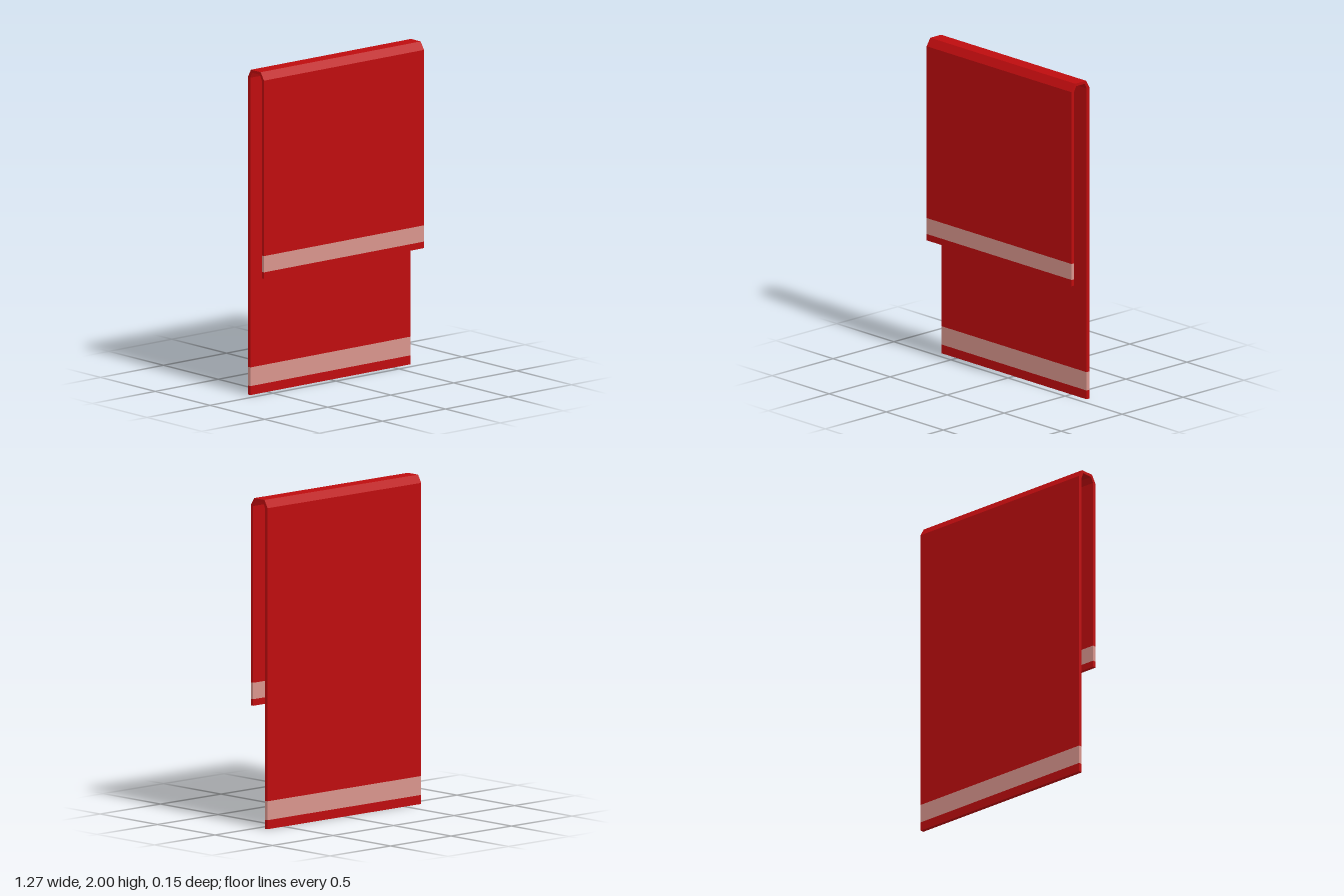
import * as THREE from 'three';

const WIDTH = 1.27;

export function createModel() {
  const group = new THREE.Group();
  group.name = 'foldedTowel';

  const red = new THREE.MeshStandardMaterial({ color: 0xbe0c0e });
  red.name = 'red cloth';
  const pink = new THREE.MeshStandardMaterial({ color: 0xd8948c });
  pink.name = 'pale stripe';

  // Extrudes a (z, y) outline across the full width
  function addPart(name, outline, material) {
    const shape = new THREE.Shape(outline.map(([z, y]) => new THREE.Vector2(-z, y)));
    const geometry = new THREE.ExtrudeGeometry(shape, { depth: WIDTH, bevelEnabled: false });
    geometry.translate(0, 0, -WIDTH / 2).rotateY(Math.PI / 2);
    const mesh = new THREE.Mesh(geometry, material);
    mesh.name = name;
    group.add(mesh);
  }

  // Upright slab of one hanging side
  function addSlab(name, [z0, z1], y0, y1, material) {
    addPart(name, [[z0, y0], [z1, y0], [z1, y1], [z0, y1]], material);
  }

  const front = [0.053, 0.073];
  const back = [-0.073, -0.05];

  // Cloth above the stripes, folded over a chamfered top
  addPart('foldedCloth', [
    [front[1], 0.875], [front[1], 1.953], [0.043, 2], [-0.046, 2], [back[0], 1.953], [back[0], 0.17],
    [back[1], 0.17], [back[1], 1.95], [-0.037, 1.983], [0.035, 1.983], [front[0], 1.95], [front[0], 0.875],
  ], red);

  // Stripes pass through the cloth, with a red hem below each
  addSlab('frontStripe', front, 0.775, 0.875, pink);
  addSlab('frontHem', front, 0.735, 0.775, red);
  addSlab('backStripe', back, 0.055, 0.17, pink);
  addSlab('backHem', back, 0, 0.055, red);

  return group;
}
